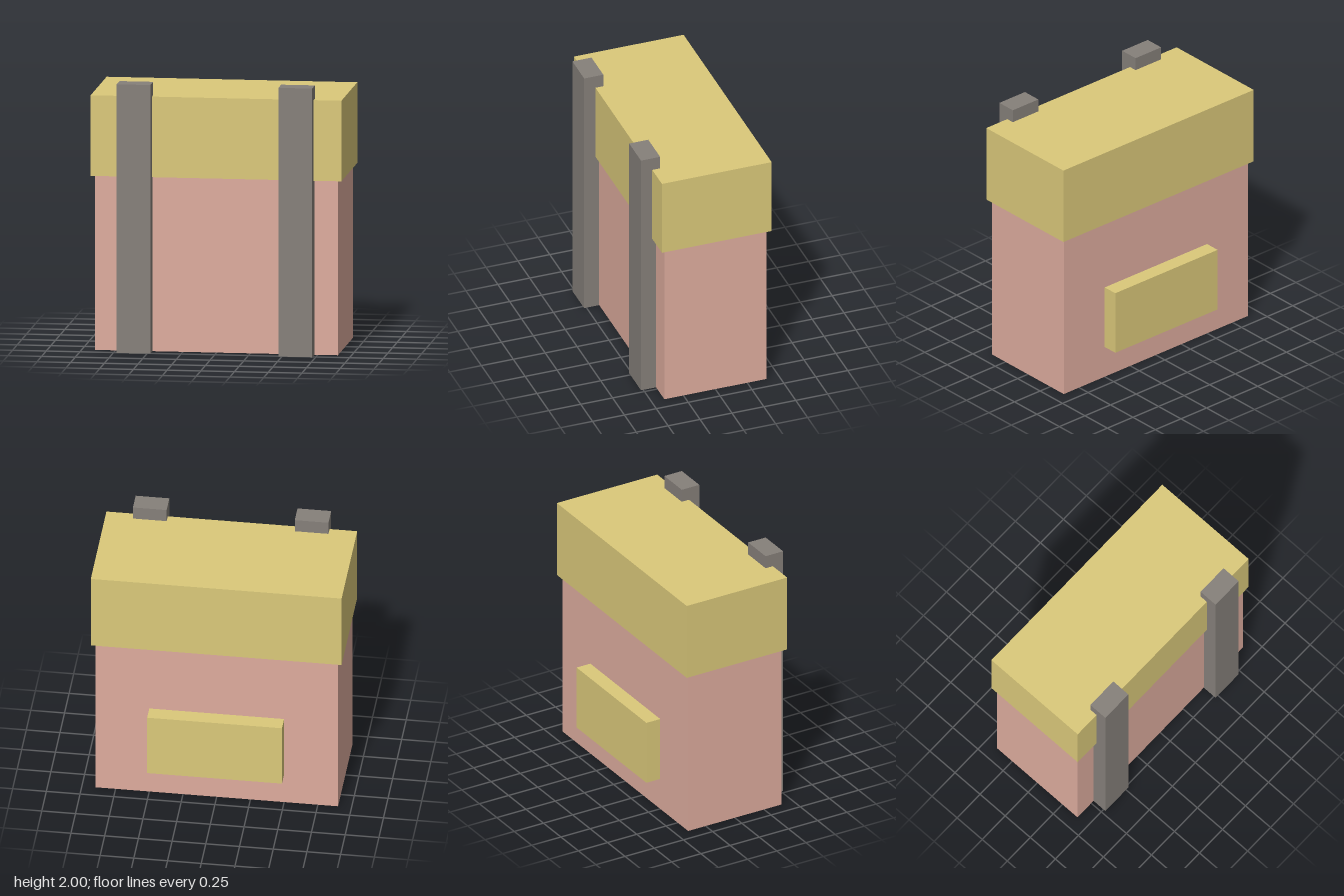
import * as THREE from 'three';

const material = (color) => new THREE.MeshStandardMaterial({ color, flatShading: true });

// Box given by its size, its base height and its centre in x and z
function block(name, mat, [w, h, d], x, baseY, z) {
  const mesh = new THREE.Mesh(new THREE.BoxGeometry(w, h, d), mat);
  mesh.name = name;
  mesh.position.set(x, baseY + h / 2, z);
  return mesh;
}

export function createModel() {
  const group = new THREE.Group();
  group.name = 'backpack';
  const pink = material(0xdeac9e);
  const yellow = material(0xdbc97a);
  const grey = material(0x86807a);

  // Main bag, reaching slightly into the lid
  group.add(block('body', pink, [1.8, 1.4, 0.8], 0, 0, 0));

  // Overhanging lid
  group.add(block('lid', yellow, [1.86, 0.6, 0.86], 0, 1.3, 0));

  // Pocket on the back, sunk slightly into the body
  group.add(block('pocket', yellow, [1, 0.5, 0.15], 0, 0.25, -0.443));

  // Shoulder straps on the front
  for (const side of [-1, 1]) {
    const name = side > 0 ? 'leftStrap' : 'rightStrap';
    group.add(block(name, grey, [0.25, 2, 0.15], side * 0.6, 0, 0.443));
  }
  return group;
}
